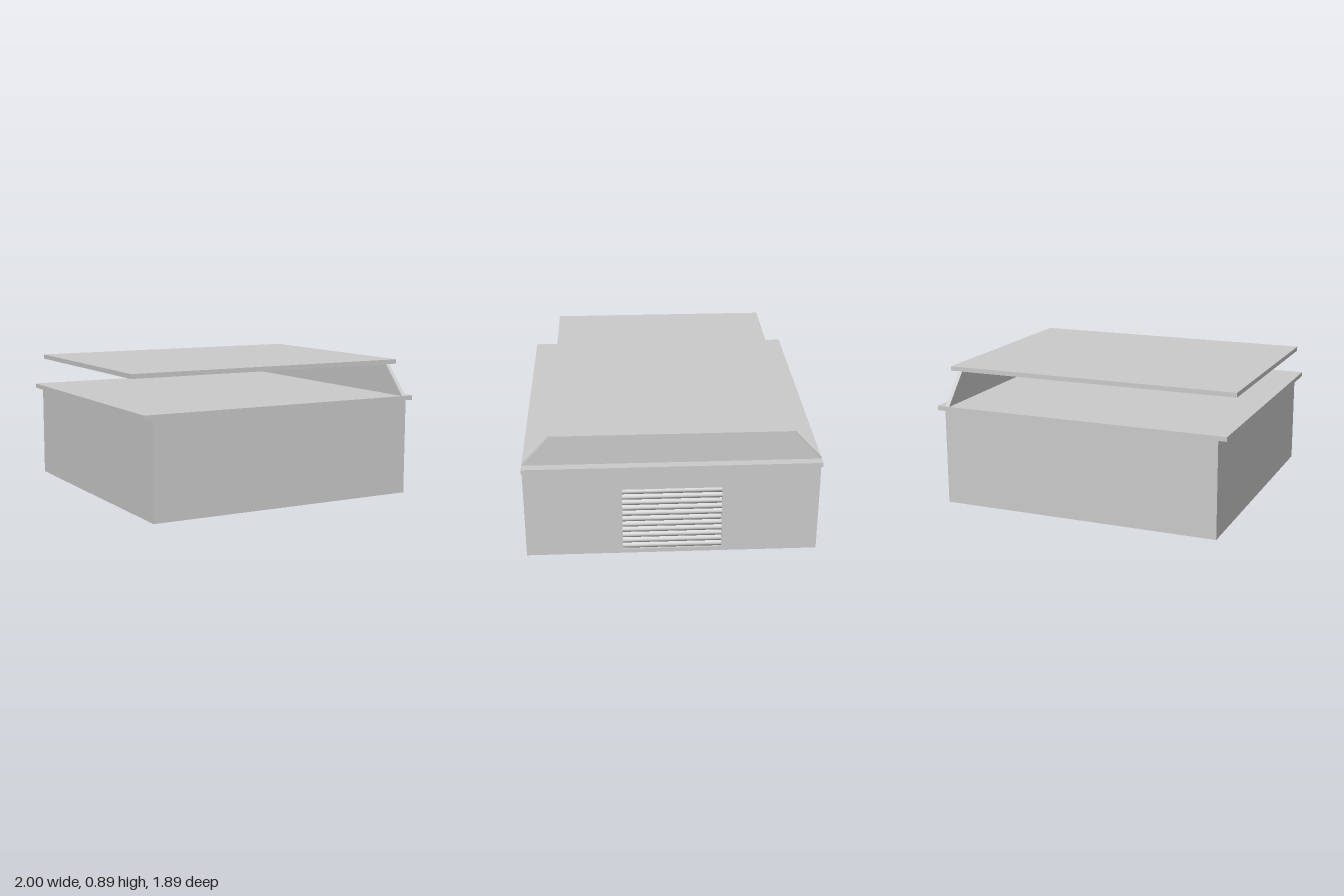
import * as THREE from 'three';
import { toCreasedNormals } from 'three/addons/utils/BufferGeometryUtils.js';

const W = 0.945;                      // half width of the walls
const DOOR = { z: 0.32, y0: 0.03, y1: 0.475, depth: 0.015 };

export function createModel() {
  const group = new THREE.Group();
  const material = new THREE.MeshStandardMaterial({ color: 0xcccccc });

  const add = (name, geometry) => {
    const mesh = new THREE.Mesh(geometry, material);
    mesh.name = name;
    group.add(mesh);
    return mesh;
  };
  // Box given by its lowest and highest corner
  const box = (name, x0, x1, y0, y1, z0, z1) =>
    add(name, new THREE.BoxGeometry(x1 - x0, y1 - y0, z1 - z0)
      .translate((x0 + x1) / 2, (y0 + y1) / 2, (z0 + z1) / 2));
  // Outline in the side plane (z, y), extruded along x
  const sidePanel = (name, shape, x0, x1) =>
    add(name, new THREE.ExtrudeGeometry(shape, { depth: x1 - x0, bevelEnabled: false })
      .rotateY(Math.PI / 2).translate(x0, 0, 0));
  const outline = (points) => new THREE.Shape(points.map(([z, y]) => new THREE.Vector2(z, y)));

  // Building body, with a thin outer wall that leaves a recess for the shutter
  const xIn = W - DOOR.depth;
  box('body', -W, xIn, 0, 0.64, -W, W);
  const wall = outline([[-W, 0], [W, 0], [W, 0.64], [-W, 0.64]]);
  wall.holes.push(outline([
    [-DOOR.z, DOOR.y0], [-DOOR.z, DOOR.y1], [DOOR.z, DOOR.y1], [DOOR.z, DOOR.y0],
  ]));
  sidePanel('shutterWall', wall, xIn, W);

  // Roller shutter: a row of bulging slats in the recess
  const slats = 11, steps = 8;
  const pitch = (DOOR.y1 - DOOR.y0) / slats;
  const profile = new THREE.Shape();
  profile.moveTo(xIn - 0.01, DOOR.y0);
  for (let i = 0; i < slats; i++) {
    for (let j = i ? 1 : 0; j <= steps; j++) {
      const t = j / steps;
      profile.lineTo(xIn + 0.002 + 0.013 * Math.sin(Math.PI * t), DOOR.y0 + (i + t) * pitch);
    }
  }
  profile.lineTo(xIn - 0.01, DOOR.y1);
  const shutter = new THREE.ExtrudeGeometry(profile, { depth: 2 * DOOR.z, bevelEnabled: false })
    .translate(0, 0, -DOOR.z);
  add('rollerShutter', toCreasedNormals(shutter, 0.6));

  // Lower roof slab, overhanging left and right
  box('lowerRoof', -1, 1, 0.635, 0.665, -W, W);

  // Single sloped-end wall carrying the raised roof
  sidePanel('roofSupport', outline([[-W, 0.665], [W, 0.665], [0.76, 0.867], [-0.76, 0.867]]), 0.915, 0.942);
  box('upperRoof', -1, 1, 0.865, 0.895, -0.76, 0.76);

  return group;
}
